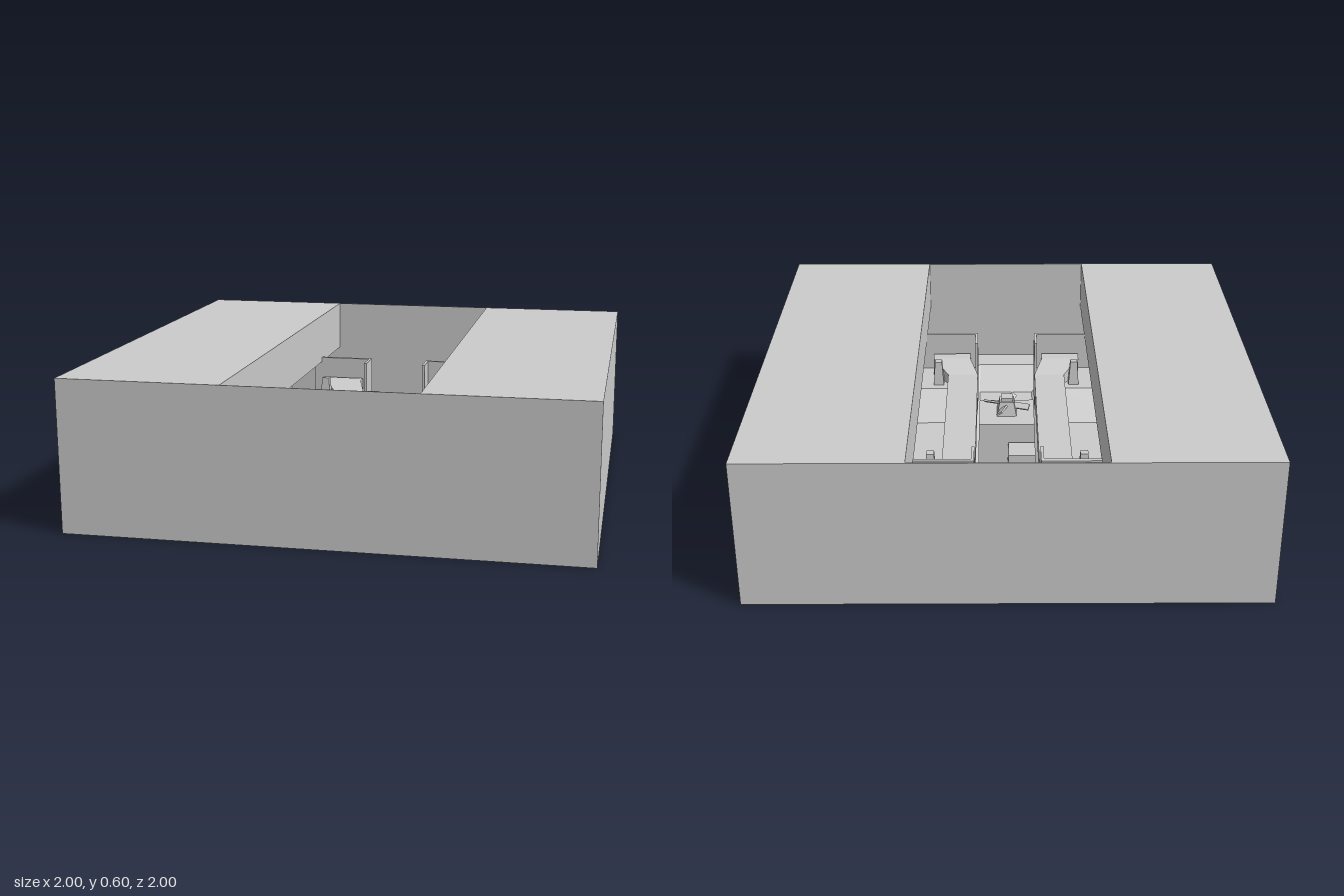
import * as THREE from 'three';

const FLOOR = 0.12;
const ROOF = 0.38;
const TOP = 0.6;

export function createModel() {
  const model = new THREE.Group();
  const mat = new THREE.MeshStandardMaterial({ color: 0xcccccc, flatShading: true, side: THREE.DoubleSide });

  function add(name, geometry, parent = model) {
    const mesh = new THREE.Mesh(geometry, mat);
    mesh.name = name;
    parent.add(mesh);
    return mesh;
  }

  // Box between two corners, with an optional inward taper at the top
  function block(name, x0, x1, y0, y1, z0, z1, parent = model, taper = 0) {
    const g = new THREE.BoxGeometry(x1 - x0, y1 - y0, z1 - z0);
    const p = g.attributes.position;
    for (let i = 0; i < p.count; i++) {
      if (p.getY(i) > 0) {
        p.setX(i, p.getX(i) - Math.sign(p.getX(i)) * taper);
        p.setZ(i, p.getZ(i) - Math.sign(p.getZ(i)) * taper);
      }
    }
    g.computeVertexNormals();
    const mesh = add(name, g, parent);
    mesh.position.set((x0 + x1) / 2, (y0 + y1) / 2, (z0 + z1) / 2);
    return mesh;
  }

  // Solid sides with an overhanging roof above the side galleries
  for (const s of [-1, 1]) {
    const profile = new THREE.Shape([
      [1, 0], [1, TOP], [0.367, TOP], [0.367, ROOF], [0.62, ROOF], [0.62, 0],
    ].map(([x, y]) => new THREE.Vector2(s * x, y)));
    const side = new THREE.ExtrudeGeometry(profile, { depth: 1.99, bevelEnabled: false });
    side.translate(0, 0, -0.995);
    add(s > 0 ? 'leftRock' : 'rightRock', side);
    block(s > 0 ? 'frontWall' : 'backWall', -1, 1, 0, TOP, s > 0 ? 0.995 : -1, s > 0 ? 1 : -0.995);
  }
  block('base', -0.62, 0.62, 0, 0.02, -0.995, 0.995);

  // Canyon floor with a rectangular opening for the sunken channel
  const rect = (T, x, z) => new T([[-x, -z], [x, -z], [x, z], [-x, z]].map((p) => new THREE.Vector2(...p)));
  const floorShape = rect(THREE.Shape, 0.62, 0.995);
  floorShape.holes.push(rect(THREE.Path, 0.25, 0.875));
  const floor = new THREE.ExtrudeGeometry(floorShape, { depth: FLOOR, bevelEnabled: false });
  floor.rotateX(-Math.PI / 2);
  add('canyonFloor', floor);

  // Channel with sloping banks
  const channel = new THREE.PlaneGeometry(1, 1, 3, 3).rotateX(-Math.PI / 2);
  const xs = [-0.25, -0.125, 0.125, 0.25];
  const zs = [-0.875, -0.75, 0.75, 0.875];
  for (let i = 0; i < 16; i++) {
    const c = i % 4;
    const r = Math.floor(i / 4);
    const inner = c > 0 && c < 3 && r > 0 && r < 3;
    channel.attributes.position.setXYZ(i, xs[c], inner ? 0.03 : FLOOR, zs[r]);
  }
  channel.computeVertexNormals();
  add('sunkenChannel', channel);

  // Four end platforms, each with a corner wall, ramp and post
  for (const sx of [-1, 1]) {
    for (const sz of [-1, 1]) {
      const base = new THREE.Group();
      base.name = 'endPlatform';
      base.scale.set(sx, 1, sz);
      model.add(base);
      block('platform', 0.13, 0.5, FLOOR, 0.23, 0.38, 0.62, base);
      block('platformBackWall', 0.13, 0.4, 0.23, 0.4, 0.602, 0.62, base);
      block('platformSideWall', 0.13, 0.142, 0.23, 0.4, 0.5, 0.61, base);
      block('post', 0.285, 0.332, 0.23, 0.34, 0.415, 0.462, base, 0.008);
      const wedge = new THREE.Shape([
        new THREE.Vector2(0.25, FLOOR), new THREE.Vector2(0.38, FLOOR), new THREE.Vector2(0.38, 0.23),
      ]);
      const ramp = new THREE.ExtrudeGeometry(wedge, { depth: 0.24, bevelEnabled: false });
      ramp.rotateY(-Math.PI / 2);
      ramp.translate(0.5, 0, 0);
      add('ramp', ramp, base);
    }
  }

  // Long bridges, flared and raised at both ends: z, inner x, outer x, top y
  const sections = [[0.585, 0.165, 0.335, 0.31], [0.53, 0.165, 0.335, 0.31], [0.43, 0.13, 0.265, 0.275]];
  for (const s of [-1, 1]) {
    const bridge = new THREE.BoxGeometry(1, 1, 5, 1, 1, 5);
    const p = bridge.attributes.position;
    for (let i = 0; i < p.count; i++) {
      const z = p.getZ(i);
      const [sz, a, b, top] = sections[Math.round(2.5 - Math.abs(z))];
      const outer = p.getX(i) * s > 0;
      p.setXYZ(i, s * (outer ? b : a), p.getY(i) > 0 ? top : top - 0.08, Math.sign(z) * sz);
    }
    bridge.computeVertexNormals();
    add('bridge', bridge);
  }

  // Central tower with two side blocks, placed with half-turn symmetry
  block('tower', -0.125, 0.125, 0.03, 0.3, -0.125, 0.125, model, 0.008);
  block('sideBlock', -0.125, 0, 0.03, 0.22, -0.25, -0.125, model, 0.006);
  block('sideBlock', 0, 0.125, 0.03, 0.22, 0.125, 0.25, model, 0.006);
  block('towerHub', -0.042, 0.042, 0.3, 0.36, -0.042, 0.042, model, 0.012);
  block('hubCap', -0.025, 0.025, 0.36, 0.375, -0.025, 0.025);

  // Four twisted blades around the hub
  for (let i = 0; i < 4; i++) {
    const blade = new THREE.Group();
    blade.name = 'blade';
    blade.rotation.y = i * Math.PI / 2 - 0.33;
    model.add(blade);
    const vane = block('vane', -0.014, 0.014, 0.334, 0.342, 0.03, 0.1, blade);
    vane.rotation.z = 0.6;
  }

  // Ledges in two opposite corners of the canyon
  block('cornerLedge', 0.255, 0.62, FLOOR, 0.22, -0.995, -0.875);
  block('cornerLedge', -0.62, -0.255, FLOOR, 0.22, 0.875, 0.995);

  return model;
}
